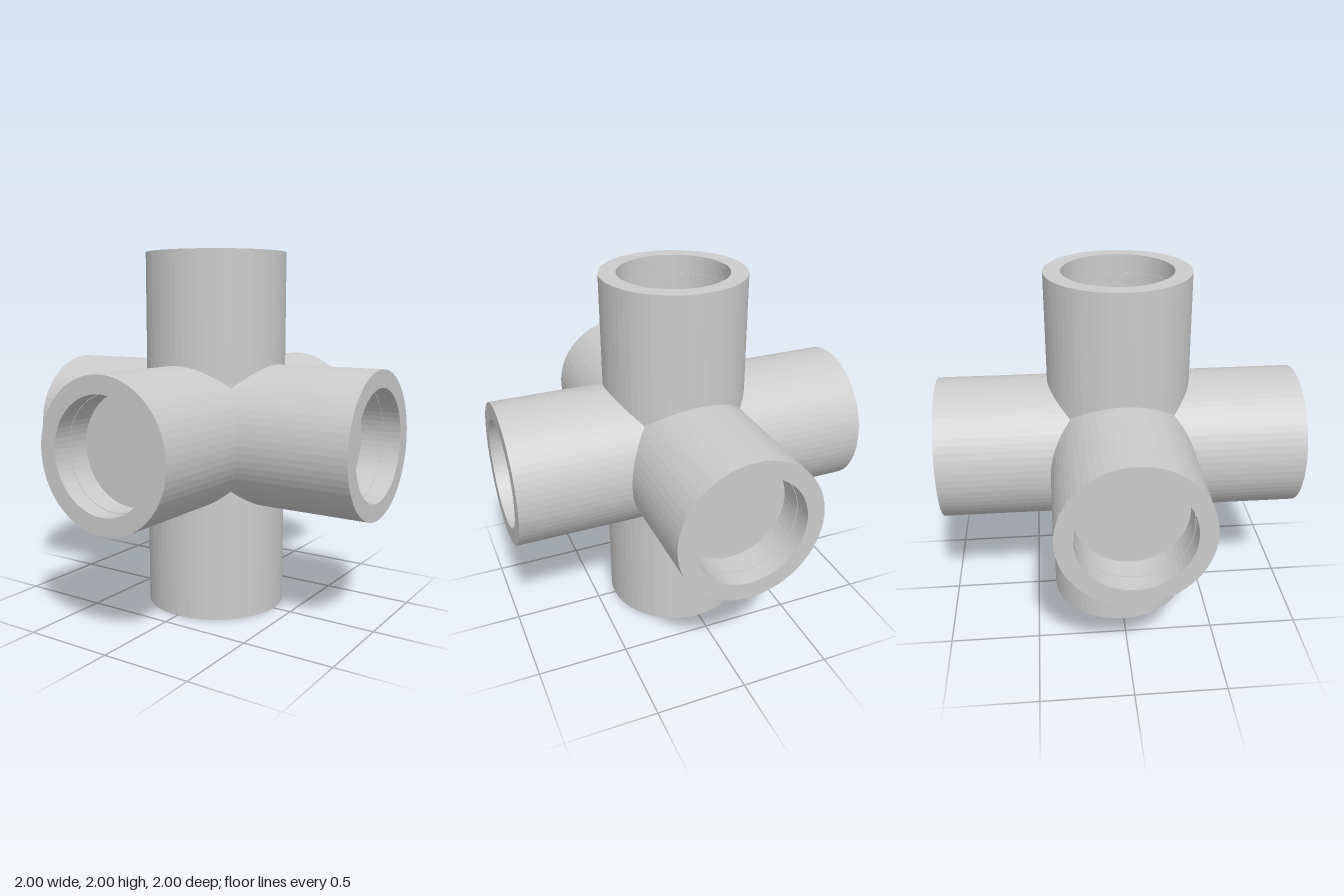
import * as THREE from 'three';

const R = 0.393;       // outer pipe radius
const BORE = 0.299;    // socket radius
const SEGMENTS = 64;   // multiple of 8, so mitre corners fall on vertices

// One arm along +y from the hub centre: outer wall, rim, stepped blind socket
function makeArmGeometry() {
  const profile = [
    [R, 0], [R, 1], [BORE, 1],
    [BORE, 0.9], [BORE - 0.003, 0.9],
    [BORE - 0.003, 0.775], [0, 0.775],
  ].map(([x, y]) => new THREE.Vector2(x, y));
  const geometry = new THREE.LatheGeometry(profile, SEGMENTS);

  // Mitre the inner end against the four neighbouring arms
  const pos = geometry.attributes.position;
  for (let i = 0; i < pos.count; i += profile.length) {
    pos.setY(i, Math.max(Math.abs(pos.getX(i)), Math.abs(pos.getZ(i))));
  }
  geometry.computeVertexNormals();
  return geometry;
}

export function createModel() {
  const group = new THREE.Group();
  group.name = 'sixWayPipeFitting';
  const material = new THREE.MeshStandardMaterial({ color: 0xcccccc, flatShading: true });
  const geometry = makeArmGeometry();
  const up = new THREE.Vector3(0, 1, 0);

  // Six identical arms meeting at the centre
  const arms = {
    topArm: [0, 1, 0], bottomArm: [0, -1, 0],
    leftArm: [1, 0, 0], rightArm: [-1, 0, 0],
    frontArm: [0, 0, 1], backArm: [0, 0, -1],
  };
  for (const [name, direction] of Object.entries(arms)) {
    const arm = new THREE.Mesh(geometry, material);
    arm.name = name;
    arm.quaternion.setFromUnitVectors(up, new THREE.Vector3(...direction));
    arm.position.y = 1;
    group.add(arm);
  }
  return group;
}
